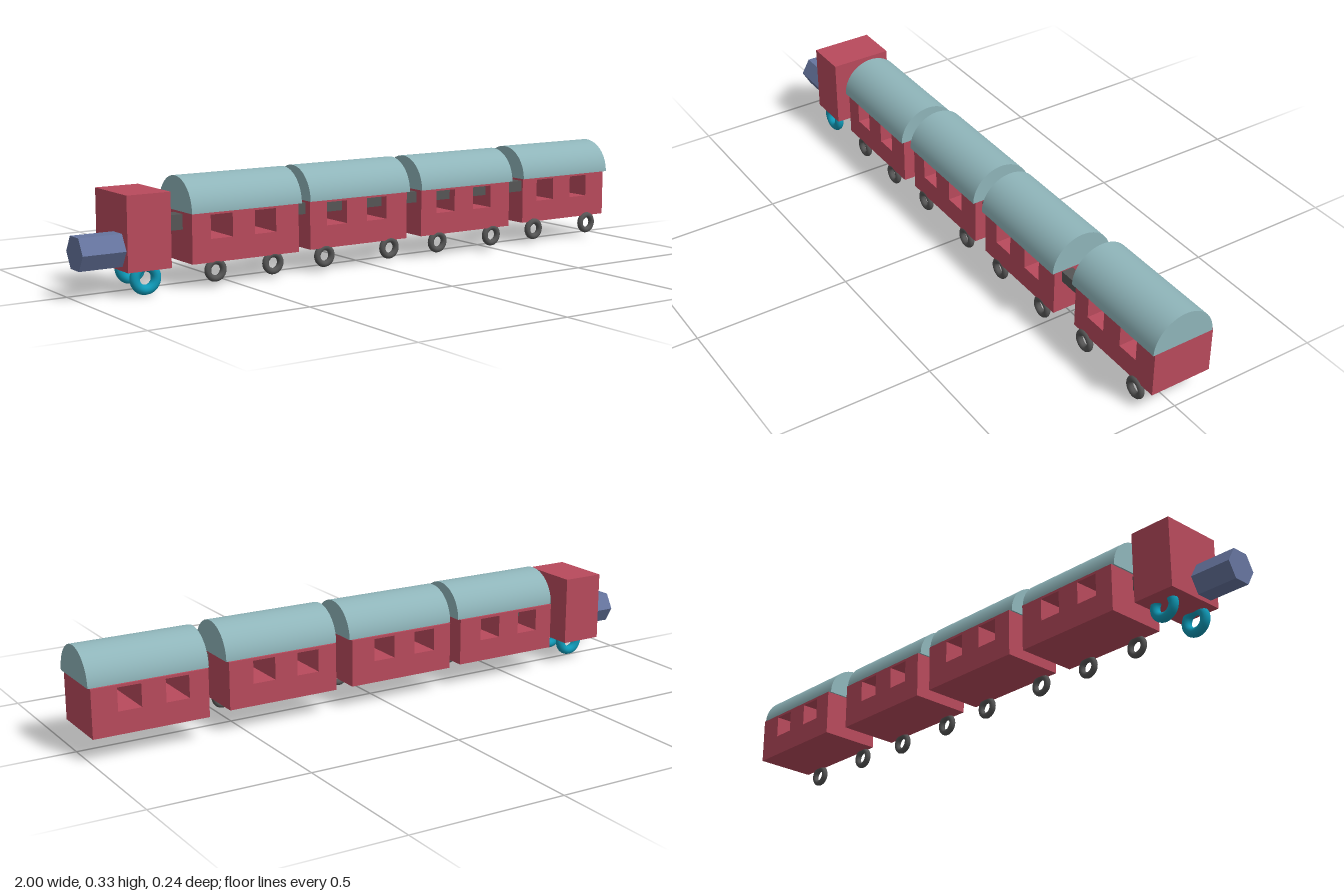
import * as THREE from 'three';

const mat = (color) => new THREE.MeshStandardMaterial({ color });

export function createModel() {
  const train = new THREE.Group();
  train.name = 'train';
  const red = mat(0xb84a5c), teal = mat(0x8fb5ba), dark = mat(0x555555);
  const slate = mat(0x66759f), blue = mat(0x0f9ab8);

  const add = (parent, name, geometry, material, x, y, z) => {
    const mesh = new THREE.Mesh(geometry, material);
    mesh.name = name;
    mesh.position.set(x, y, z);
    parent.add(mesh);
    return mesh;
  };

  // Engine: cab, hexagonal boiler and two ring wheels
  const engine = new THREE.Group();
  engine.name = 'engine';
  train.add(engine);
  add(engine, 'cab', new THREE.BoxGeometry(0.139, 0.222, 0.203), red, -0.796, 0.186, 0.02);
  const hex = new THREE.CylinderGeometry(0.055, 0.055, 0.15, 6).rotateZ(Math.PI / 2).toNonIndexed();
  hex.computeVertexNormals();
  add(engine, 'boiler', hex, slate, -0.925, 0.136, 0.06);
  const engineWheel = new THREE.TorusGeometry(0.034, 0.015, 12, 32);
  add(engine, 'engineWheel', engineWheel, blue, -0.8, 0.05, 0.098);
  add(engine, 'engineWheel', engineWheel, blue, -0.787, 0.061, -0.024);

  // Coupling bars: a short one behind the cab, a long one through the carriages
  add(train, 'engineCoupling', new THREE.BoxGeometry(0.17, 0.046, 0.053), dark, -0.647, 0.194, 0.028);
  add(train, 'carriageCoupling', new THREE.BoxGeometry(0.97, 0.035, 0.038), dark, 0.165, 0.2, 0.056);

  // Carriage body: solid block with two windows cut right through
  const L = 0.366, H = 0.15, D = 0.203;
  const side = new THREE.Shape([
    new THREE.Vector2(-L / 2, 0), new THREE.Vector2(L / 2, 0),
    new THREE.Vector2(L / 2, H), new THREE.Vector2(-L / 2, H),
  ]);
  for (const x of [-0.084, 0.066]) {
    side.holes.push(new THREE.Path([
      new THREE.Vector2(x - 0.037, 0.07), new THREE.Vector2(x - 0.037, 0.142),
      new THREE.Vector2(x + 0.037, 0.142), new THREE.Vector2(x + 0.037, 0.07),
    ]));
  }
  const body = new THREE.ExtrudeGeometry(side, { depth: D, bevelEnabled: false }).translate(0, 0, -D / 2);

  // Half-round roof with a closed underside
  const roof = new THREE.CylinderGeometry(0.103, 0.103, 0.376, 32, 1, false, 0, Math.PI).rotateZ(Math.PI / 2);
  const underside = new THREE.PlaneGeometry(0.376, 0.206).rotateX(Math.PI / 2);
  const wheel = new THREE.TorusGeometry(0.026, 0.01, 12, 32);

  // Carriages: centre x, centre z, wheel positions and wheel z
  const carriages = [
    { x: -0.47, z: 0.01, wheels: [-0.572, -0.374], wheelZ: 0.102 },
    { x: -0.056, z: 0, wheels: [-0.182, 0.064], wheelZ: 0.093 },
    { x: 0.368, z: 0, wheels: [0.257, 0.482], wheelZ: 0.093 },
    { x: 0.811, z: -0.02, wheels: [0.679, 0.92], wheelZ: 0.08 },
  ];
  for (const c of carriages) {
    const carriage = new THREE.Group();
    carriage.name = 'carriage';
    train.add(carriage);
    add(carriage, 'carriageBody', body, red, c.x, 0.075, c.z);
    add(carriage, 'roof', roof, teal, c.x, 0.225, c.z + 0.009);
    add(carriage, 'roofUnderside', underside, teal, c.x, 0.225, c.z + 0.009);
    for (const x of c.wheels) add(carriage, 'carriageWheel', wheel, dark, x, 0.05, c.wheelZ);
  }
  return train;
}
